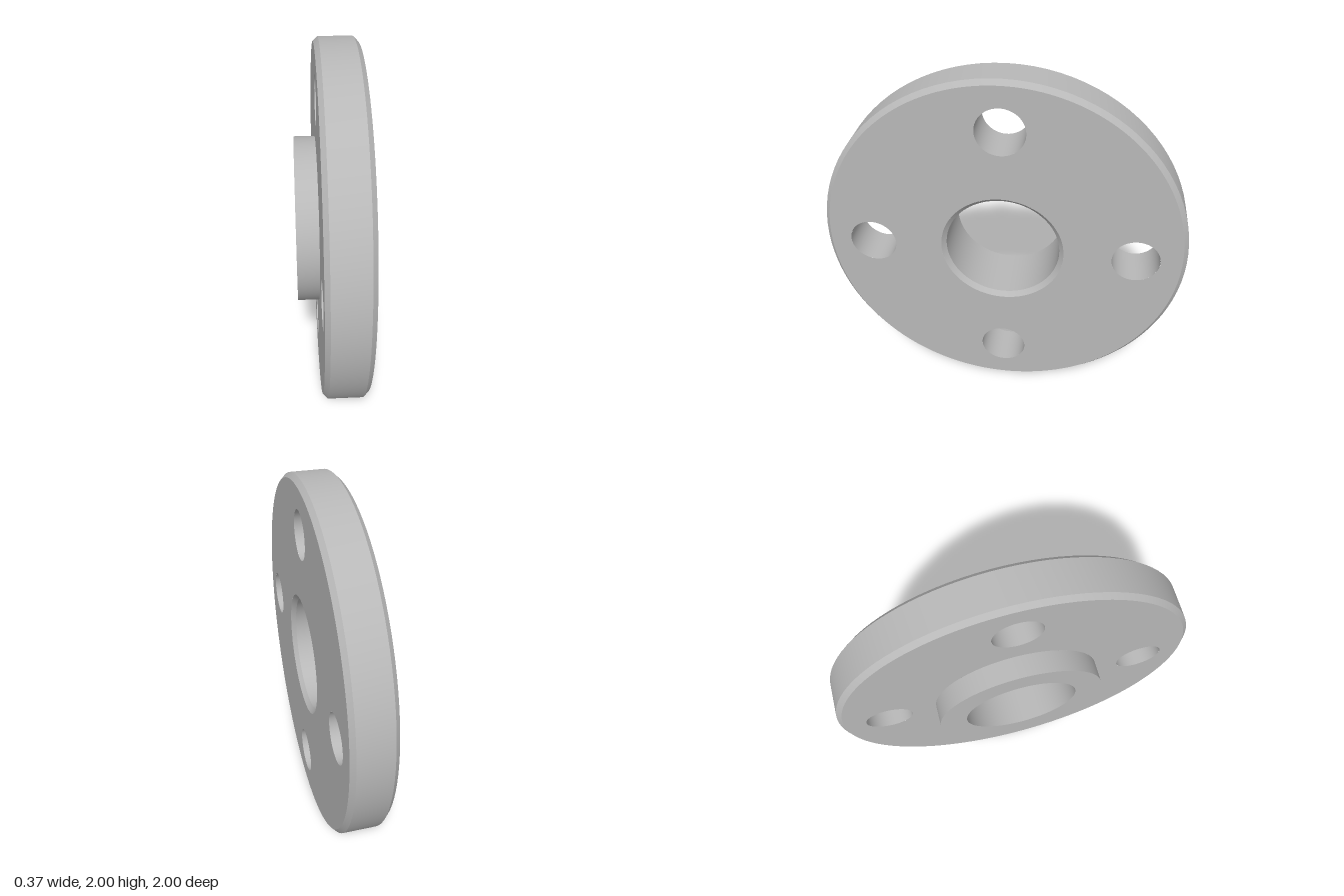
import * as THREE from 'three';
import { toCreasedNormals } from 'three/addons/utils/BufferGeometryUtils.js';

const SEG = 96;
const BACK = -0.065, FRONT = 0.17, HUB_BACK = -0.183;
const OUTER = 1, HUB = 0.464, BORE = 0.315, BOLT = 0.13, BOLT_CIRCLE = 0.73;
const CHAMFER = 0.025;

export function createModel() {
  const steel = new THREE.MeshStandardMaterial({ color: 0xb8b8b8 });
  steel.name = 'grey steel';

  const model = new THREE.Group();
  model.name = 'pipeFlange';

  // The flange is built around local z, then turned so its axis lies along x
  const flange = new THREE.Group();
  flange.name = 'flange';
  flange.position.y = 1;
  flange.rotation.y = Math.PI / 2 - 0.015;
  model.add(flange);

  function add(name, geometry) {
    const mesh = new THREE.Mesh(geometry, steel);
    mesh.name = name;
    flange.add(mesh);
    return mesh;
  }

  // Surface of revolution from [radius, z] pairs, with crisp edges
  function turned(name, profile, segments = SEG) {
    const points = profile.map(([r, z]) => new THREE.Vector2(r, z));
    const geometry = new THREE.LatheGeometry(points, segments).rotateX(Math.PI / 2);
    // rotateX sends the lathe's y axis to +z
    return add(name, toCreasedNormals(geometry, 0.45));
  }

  const boltCentres = [0, 1, 2, 3].map((i) => {
    const a = 0.01 + (i * Math.PI) / 2;
    return new THREE.Vector2(Math.cos(a), Math.sin(a)).multiplyScalar(BOLT_CIRCLE);
  });

  // Flat annular face pierced by the bolt holes
  function face(name, innerRadius, z, flip) {
    const shape = new THREE.Shape().absarc(0, 0, OUTER - CHAMFER, 0, Math.PI * 2);
    const hole = (x, y, r) => shape.holes.push(new THREE.Path().absarc(x, y, r, 0, Math.PI * 2, true));
    hole(0, 0, innerRadius);
    boltCentres.forEach((c) => hole(c.x, c.y, BOLT));
    const geometry = new THREE.ShapeGeometry(shape, SEG);
    if (flip) geometry.rotateY(Math.PI);
    // Mirrored hole positions are restored by turning the plate half a pitch offset
    if (flip) geometry.rotateZ(0.02);
    const mesh = add(name, geometry);
    mesh.position.z = z;
  }

  face('frontFace', BORE + CHAMFER, FRONT, false);
  face('backFace', HUB, BACK, true);

  // Chamfered outer rim
  turned('rim', [
    [OUTER - CHAMFER, BACK],
    [OUTER, BACK + CHAMFER],
    [OUTER, FRONT - CHAMFER],
    [OUTER - CHAMFER, FRONT],
  ]);

  // Raised hub on the back, with its flat annular end
  turned('hub', [
    [BORE, HUB_BACK],
    [HUB, HUB_BACK],
    [HUB, BACK],
  ]);

  // Central bore, chamfered at the front
  turned('bore', [
    [BORE + CHAMFER, FRONT],
    [BORE, FRONT - CHAMFER],
    [BORE, HUB_BACK],
  ]);

  // Bolt hole walls
  boltCentres.forEach((c) => {
    const wall = turned('boltHole', [[BOLT, FRONT], [BOLT, BACK]], 64);
    wall.position.set(c.x, c.y, 0);
  });

  return model;
}
